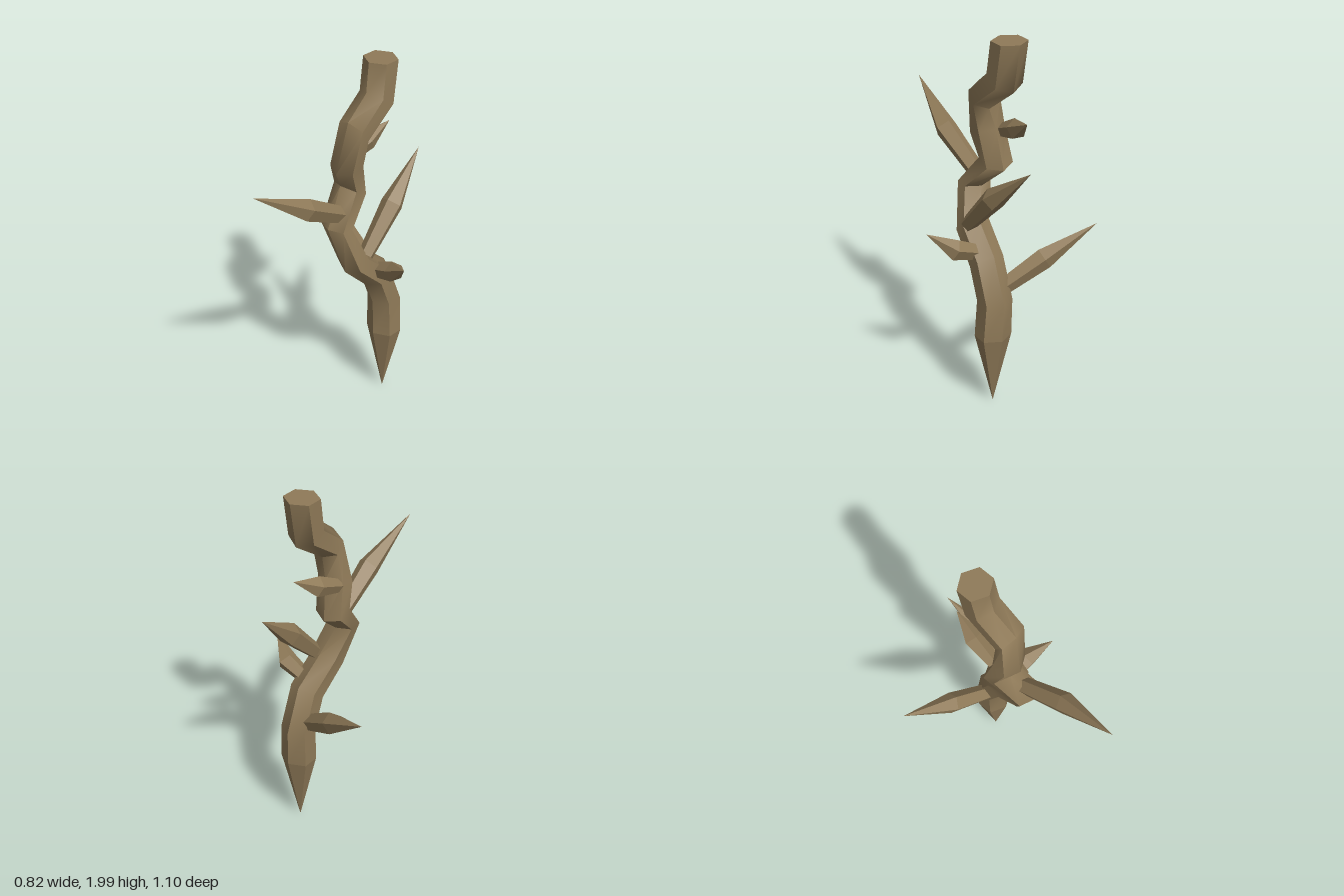
import * as THREE from 'three';
import { toCreasedNormals } from 'three/addons/utils/BufferGeometryUtils.js';

// Skin a list of equal-sized rings (counter-clockwise seen from the end of the path)
function loft(rings) {
  const n = rings[0].length, pos = [];
  const tri = (...pts) => pts.forEach((p) => pos.push(p.x, p.y, p.z));
  for (let i = 0; i < rings.length - 1; i++) {
    for (let j = 0; j < n; j++) {
      const k = (j + 1) % n, lo = rings[i], hi = rings[i + 1];
      if (lo[j].distanceTo(lo[k]) > 1e-6) tri(lo[j], lo[k], hi[k]);
      if (hi[j].distanceTo(hi[k]) > 1e-6) tri(lo[j], hi[k], hi[j]);
    }
  }
  const g = new THREE.BufferGeometry();
  g.setAttribute('position', new THREE.Float32BufferAttribute(pos, 3));
  g.computeVertexNormals();
  return g;
}

// Hexagonal stem section: centre x, half width, front corner (z, y), back corner (z, y)
function stemRing([x, half, zf, yf, zb, yb]) {
  return Array.from({ length: 6 }, (_, j) => {
    const c = Math.cos(j * Math.PI / 3), s = Math.sin(j * Math.PI / 3);
    return new THREE.Vector3(
      x + s * half / 0.866,
      (yf + yb) / 2 + c * (yf - yb) / 2,
      (zf + zb) / 2 + c * (zf - zb) / 2);
  });
}

// Thorn: thin root, swollen middle, sharp tip
function thornGeometry(base, mid, tip, rBase, rMid) {
  const [b, m, t] = [base, mid, tip].map((p) => new THREE.Vector3(...p));
  const axis = t.clone().sub(b).normalize();
  const u = new THREE.Vector3(0, 1, 0).addScaledVector(axis, -axis.y).normalize();
  const v = axis.clone().cross(u);
  const ring = (c, r) => Array.from({ length: 5 }, (_, j) => {
    const a = j * Math.PI * 0.4;
    return c.clone().addScaledVector(u, r * Math.cos(a)).addScaledVector(v, r * Math.sin(a));
  });
  return loft([ring(b, rBase), ring(m, rMid), ring(t, 0)]);
}

export function createModel() {
  const group = new THREE.Group();
  const wood = new THREE.MeshStandardMaterial({ color: 0x8f7a58 });
  wood.name = 'brownWood';
  const add = (name, geometry) => {
    const mesh = new THREE.Mesh(geometry, wood);
    mesh.name = name;
    group.add(mesh);
  };

  // Winding stem, from the bottom up
  const stem = [
    [0.128, 0.085, -0.2, 0.42, -0.37, 0.42],
    [0.12, 0.079, -0.2, 0.625, -0.375, 0.63],
    [0.12, 0.078, -0.145, 0.765, -0.28, 0.87],
    [0.105, 0.078, 0, 0.91, -0.13, 1.0],
    [0.05, 0.078, 0.07, 1.175, -0.06, 1.16],
    [0.01, 0.079, -0.06, 1.36, -0.2, 1.285],
    [0.03, 0.078, -0.008, 1.455, -0.16, 1.5],
    [0.06, 0.079, -0.06, 1.735, -0.145, 1.61],
    [0.055, 0.079, -0.19, 1.845, -0.34, 1.755],
    [0.05, 0.078, -0.21, 2, -0.38, 2],
  ].map(stemRing);
  add('stem', toCreasedNormals(loft(stem), 0.9));

  // Flat cut at the top and pointed lower end
  const top = stem[stem.length - 1];
  add('stemCut', loft([top, top.map(() => new THREE.Vector3(0.05, 2, -0.295))]));
  add('stemPoint', loft([stem[0].map(() => new THREE.Vector3(0.128, 0.01, -0.285)), stem[0]]));

  // Thorns: base, middle, tip, base radius, middle radius
  const thorns = {
    frontThorn: [[0.05, 1.22, -0.03], [0.07, 1.375, 0.24], [0.04, 1.56, 0.55], 0.045, 0.058],
    rightThorn: [[0.06, 0.675, -0.27], [-0.15, 0.81, -0.335], [-0.41, 0.975, -0.43], 0.045, 0.058],
    leftThorn: [[0.14, 0.86, -0.18], [0.285, 0.915, -0.175], [0.41, 1.01, -0.11], 0.04, 0.055],
    backThorn: [[0.155, 0.99, -0.1], [0.145, 1.21, -0.305], [0.1, 1.43, -0.55], 0.042, 0.06],
    upperBackThorn: [[-0.025, 1.475, -0.13], [-0.01, 1.535, -0.275], [0.02, 1.61, -0.405], 0.035, 0.053],
  };
  for (const [name, spec] of Object.entries(thorns)) add(name, thornGeometry(...spec));

  return group;
}
